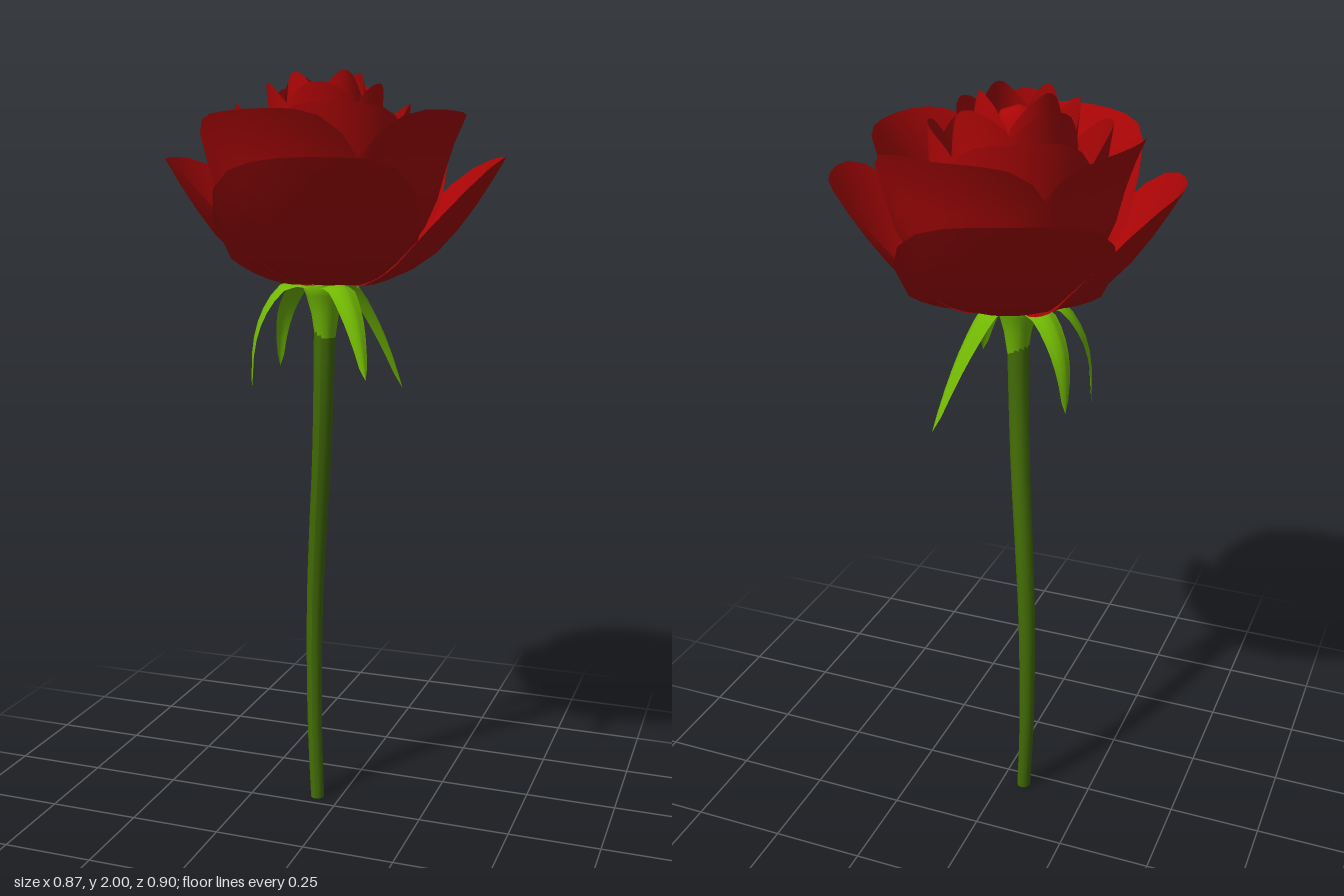
import * as THREE from 'three';

const red = new THREE.MeshStandardMaterial({ color: 0xaa0506, side: THREE.DoubleSide });
red.name = 'petal red';
const darkGreen = new THREE.MeshStandardMaterial({ color: 0x436c06 });
darkGreen.name = 'stem green';
const lightGreen = new THREE.MeshStandardMaterial({ color: 0x72b803, side: THREE.DoubleSide });
lightGreen.name = 'sepal green';

// Smooth surface patch: point(u, v) with u in -1..1 and v in 0..1
function patch(nu, nv, point) {
  const positions = [], index = [];
  for (let j = 0; j <= nv; j++) {
    for (let i = 0; i <= nu; i++) positions.push(...point((2 * i) / nu - 1, j / nv));
  }
  for (let j = 0; j < nv; j++) {
    for (let i = 0; i < nu; i++) {
      const a = j * (nu + 1) + i, b = a + 1, c = a + nu + 1, d = c + 1;
      index.push(a, c, b, b, c, d);
    }
  }
  const g = new THREE.BufferGeometry();
  g.setAttribute('position', new THREE.Float32BufferAttribute(positions, 3));
  g.setIndex(index);
  g.computeVertexNormals();
  return g;
}

const spline = (pts) => new THREE.SplineCurve(pts.map(([r, y]) => new THREE.Vector2(r, y)));

// Cupped petal: a profile swept about the flower axis, shortened and sagging towards its sides
function petalGeometry(ring, angle, half, scale) {
  const { curve, drop, power, sag, cx } = ring;
  const mid = THREE.MathUtils.degToRad(angle), h = THREE.MathUtils.degToRad(half);
  return patch(12, 8, (u, v) => {
    const s = v * (1 - drop * Math.abs(u) ** power + 0.012 * Math.sin(5 * u + angle));
    const p = curve.getPoint(Math.min(Math.max(s, 0), 1));
    const a = mid + u * h * (1.1 - 0.1 * v);
    // one side tucks under its neighbour
    const r = p.x * (1 + (scale - 1) * v) * (1 + 0.025 * u);
    return [cx * v + r * Math.cos(a), p.y - sag * u * u * v * v, r * Math.sin(a)];
  });
}

// Each petal is [angle, half width in degrees, radius scale]
const rings = [
  { name: 'outerPetal', drop: 0.48, power: 3, sag: 0.02, cx: 0,
    curve: spline([[0.02, 1.47], [0.14, 1.48], [0.265, 1.55], [0.365, 1.67], [0.44, 1.79]]),
    petals: [[-111, 54, 1.03], [-18, 55, 0.99], [78, 53, 1.02], [169, 56, 0.98]] },
  { name: 'middlePetal', drop: 0.4, power: 3, sag: 0.01, cx: 0,
    curve: spline([[0.02, 1.48], [0.12, 1.5], [0.21, 1.57], [0.27, 1.68], [0.305, 1.8], [0.35, 1.9]]),
    petals: [[-83, 56, 1.02], [12, 60, 0.98], [104, 55, 1.05], [192, 54, 0.96]] },
  { name: 'innerPetal', drop: 0.22, power: 2.2, sag: 0, cx: -0.02,
    curve: spline([[0.02, 1.49], [0.1, 1.52], [0.17, 1.6], [0.21, 1.71], [0.22, 1.82], [0.23, 1.92]]),
    petals: [[-115, 54, 1.03], [-25, 50, 0.92], [62, 56, 1.05], [158, 52, 1]] },
  { name: 'heartPetal', drop: 0.26, power: 1.5, sag: 0, cx: -0.02,
    curve: spline([[0.02, 1.5], [0.08, 1.55], [0.135, 1.68], [0.15, 1.8], [0.15, 1.9], [0.155, 1.97]]),
    petals: [[-70, 46, 1], [5, 46, 0.95], [75, 46, 1], [145, 46, 0.97], [218, 46, 1.02]] },
  { name: 'budPetal', drop: 0.22, power: 1.4, sag: 0, cx: -0.02,
    curve: spline([[0.02, 1.52], [0.07, 1.6], [0.1, 1.73], [0.11, 1.84], [0.1, 1.93], [0.09, 2]]),
    petals: [[-45, 52, 1], [40, 52, 0.95], [130, 52, 1], [205, 52, 1.08]] },
];

// Sepal tips, each with how sharply it hooks downwards
const sepals = [
  [-0.2, 1.19, 0.08, 1], [-0.19, 1.23, -0.1, 1], [0.15, 1.25, 0.19, 0.4], [0.13, 1.17, -0.2, 0],
];
const cup = new THREE.Vector3(-0.02, 1.48, 0.01);

// Arching, drooping leaf with a folded midrib, tapering to a point
function sepalGeometry([x, y, z, hook]) {
  const out = new THREE.Vector3(x - cup.x, 0, z - cup.z);
  const reach = out.length();
  out.normalize();
  const fall = cup.y - y;
  const path = spline([[0.015, 1.465], [reach * (0.33 + 0.2 * hook), 1.475],
    [reach * (0.56 + 0.27 * hook), 1.48 - fall * 0.25],
    [reach * (0.78 + 0.2 * hook), 1.48 - fall * 0.58], [reach, y]]);
  return patch(4, 10, (u, v) => {
    const p = path.getPoint(v);
    const w = 0.052 * (1 - v) ** 0.8 * (0.75 + 0.6 * v) * u;
    const r = p.x - 0.3 * Math.abs(w);
    return [cup.x + out.x * r - out.z * w, p.y - 0.35 * Math.abs(w), cup.z + out.z * r + out.x * w];
  });
}

// Curved stem that thickens towards the flower
function stemGeometry() {
  const path = new THREE.CatmullRomCurve3([
    [-0.065, 0, -0.045], [-0.077, 0.2, -0.058], [-0.08, 0.4, -0.063], [-0.075, 0.6, -0.058],
    [-0.06, 0.8, -0.042], [-0.04, 1, -0.016], [-0.026, 1.2, 0.006], [-0.02, 1.46, 0.01],
  ].map((p) => new THREE.Vector3(...p)));
  const g = new THREE.CylinderGeometry(0.029, 0.019, 1, 12, 24);
  const pos = g.attributes.position;
  for (let i = 0; i < pos.count; i++) {
    const c = path.getPoint(THREE.MathUtils.clamp(pos.getY(i) + 0.5, 0, 1));
    pos.setXYZ(i, c.x + pos.getX(i), c.y, c.z + pos.getZ(i));
  }
  g.computeVertexNormals();
  return g;
}

export function createModel() {
  const model = new THREE.Group();
  model.name = 'flower';
  const add = (parent, name, geometry, material) => {
    const mesh = new THREE.Mesh(geometry, material);
    mesh.name = name;
    parent.add(mesh);
    return mesh;
  };

  add(model, 'stem', stemGeometry(), darkGreen);

  // Cup under the petals
  const profile = [[0.027, 1.33], [0.036, 1.39], [0.05, 1.44], [0.064, 1.475], [0.03, 1.49], [0, 1.49]];
  const receptacle = add(model, 'receptacle',
    new THREE.LatheGeometry(profile.map(([r, y]) => new THREE.Vector2(r, y)), 14), lightGreen);
  receptacle.position.set(cup.x, 0, cup.z);

  sepals.forEach((sepal, i) => add(model, `sepal${i + 1}`, sepalGeometry(sepal), lightGreen));

  // Petal rings from the outside in
  const bloom = new THREE.Group();
  bloom.name = 'bloom';
  model.add(bloom);
  for (const ring of rings) {
    ring.petals.forEach(([angle, half, scale], i) =>
      add(bloom, `${ring.name}${i + 1}`, petalGeometry(ring, angle, half, scale), red));
  }

  // Closed bud in the middle
  const core = [[0.03, 1.55], [0.06, 1.68], [0.072, 1.82], [0.066, 1.9], [0.045, 1.945], [0, 1.96]];
  const bud = add(bloom, 'budCore',
    new THREE.LatheGeometry(core.map(([r, y]) => new THREE.Vector2(r, y)), 12), red);
  bud.position.set(-0.025, 0, 0);

  return model;
}
